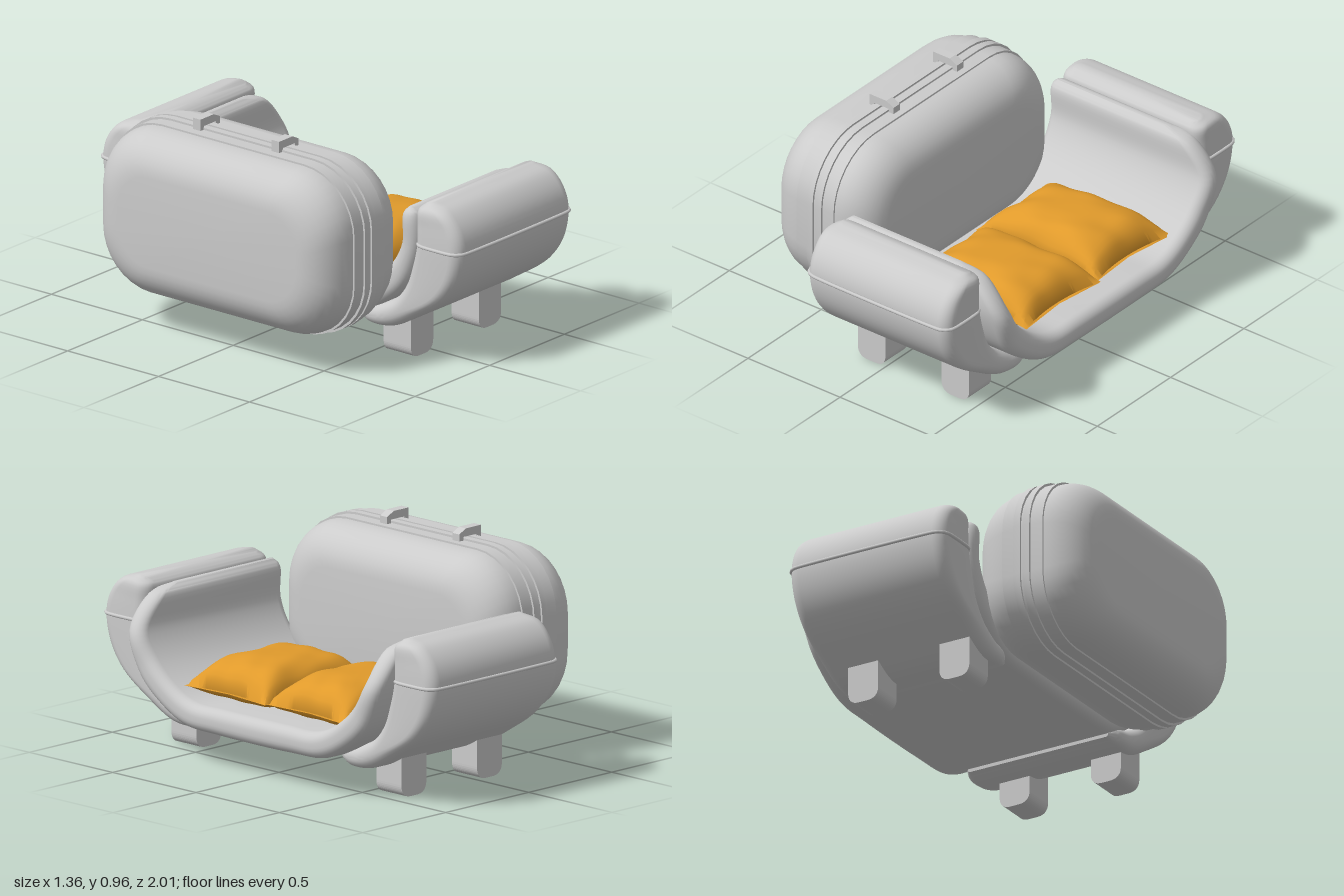
import * as THREE from 'three';
import { toCreasedNormals } from 'three/addons/utils/BufferGeometryUtils.js';

const grey = new THREE.MeshStandardMaterial({ color: 0xcccccc });
const orange = new THREE.MeshStandardMaterial({ color: 0xe09a2b });
const V = (x, y, z) => new THREE.Vector3(x, y, z);

// Outline of a rounded rectangle with half sizes a, b and corner radius r
function roundedRect(a, b, r, n = 6) {
  const pts = [];
  [[1, 1], [-1, 1], [-1, -1], [1, -1]].forEach(([sx, sy], q) => {
    for (let i = 0; i <= n; i++) {
      const t = (q + i / n) * Math.PI / 2;
      pts.push([sx * (a - r) + r * Math.cos(t), sy * (b - r) + r * Math.sin(t)]);
    }
  });
  return pts;
}

// Closed skin over a row of equal-length rings, capped at both ends and facing outward
function loft(rings, crease = 0.7) {
  const n = rings[0].length, pts = rings.flat(), idx = [];
  for (let i = 0; i < rings.length - 1; i++) {
    for (let j = 0; j < n; j++) {
      const a = i * n + j, b = i * n + (j + 1) % n;
      idx.push(a, b, a + n, b, b + n, a + n);
    }
  }
  [0, rings.length - 1].forEach((k) => {
    const c = V(0, 0, 0);
    rings[k].forEach((p) => c.addScaledVector(p, 1 / n));
    pts.push(c);
    for (let j = 0; j < n; j++) {
      const a = k * n + j, b = k * n + (j + 1) % n;
      idx.push(...(k === 0 ? [pts.length - 1, b, a] : [pts.length - 1, a, b]));
    }
  });
  const mid = V(0, 0, 0);
  pts.forEach((p) => mid.addScaledVector(p, 1 / pts.length));
  let volume = 0;
  const e = [V(), V(), V()];
  for (let i = 0; i < idx.length; i += 3) {
    e.forEach((v, k) => v.subVectors(pts[idx[i + k]], mid));
    volume += e[0].dot(e[1].clone().cross(e[2]));
  }
  if (volume < 0) idx.reverse();
  const g = new THREE.BufferGeometry().setFromPoints(pts);
  g.setIndex(idx);
  return toCreasedNormals(g, crease);
}

// Curved padded slab: each row is [inner z, inner y, outer z, outer y, x back, x front]
function slab(rows, radius, steps) {
  const inner = new THREE.CatmullRomCurve3(rows.map((p) => V(p[4], p[1], p[0])));
  const outer = new THREE.CatmullRomCurve3(rows.map((p) => V(p[5], p[3], p[2])));
  const rings = [];
  for (let i = 0; i <= steps; i++) {
    const a = inner.getPoint(i / steps), b = outer.getPoint(i / steps);
    const hy = (b.y - a.y) / 2, hz = (b.z - a.z) / 2, h = Math.hypot(hy, hz);
    const hx = (b.x - a.x) / 2;
    rings.push(roundedRect(hx, h, Math.min(radius, h * 0.95)).map(([u, v]) =>
      V((a.x + b.x) / 2 + u, (a.y + b.y) / 2 + hy * v / h, (a.z + b.z) / 2 + hz * v / h)));
  }
  return loft(rings);
}

// Ring of the backrest outline at a given x, drawn in by an inset
const backRing = (x, inset) =>
  roundedRect(0.66 - inset, 0.373 - inset, 0.27 - inset * 0.6, 8)
    .map(([z, y]) => V(x, 0.528 + y, z));

// Soft cushion spanned between four corners (x, z), pinched at the edges
function cushion(corners, phase) {
  const n = 28, rings = [], [A, B, C, D] = corners;
  const point = (u, v, side) => {
    const pu = u * (1 - 0.09 * (1 - v * v) * 0.6), pv = v * (1 - 0.07 * (1 - u * u));
    const s = (pu * (1 - 0.06 * (1 - v * v)) + 1) / 2, t = (pv + 1) / 2;
    const mix = (k) => (A[k] * (1 - s) + B[k] * s) * (1 - t) + (D[k] * (1 - s) + C[k] * s) * t;
    const dome = Math.pow(Math.max(0, (1 - u ** 4) * (1 - v ** 4)), 0.6);
    const rim = Math.max(u * u, v * v);
    const fold = 1 + 0.13 * rim * Math.sin(7 * u + 3 * v + phase) * Math.cos(6 * v - 2 * u + phase);
    const y = 0.315 + dome * fold * (side > 0 ? 0.135 : -0.055);
    return V(mix(0), Math.max(y, 0.262), mix(1));
  };
  for (let i = 0; i <= n; i++) {
    const u = -1 + 2 * i / n, ring = [];
    for (let j = 0; j <= n; j++) ring.push(point(u, -1 + 2 * j / n, 1));
    for (let j = n - 1; j > 0; j--) ring.push(point(u, -1 + 2 * j / n, -1));
    rings.push(ring);
  }
  return loft(rings, 1.1);
}

export function createModel() {
  const model = new THREE.Group();
  const add = (name, geometry, material = grey) => {
    const mesh = new THREE.Mesh(geometry, material);
    mesh.name = name;
    model.add(mesh);
    return mesh;
  };

  // Case-shaped backrest with rounded faces
  const half = [];
  for (let i = 0; i <= 9; i++) {
    const t = i / 9 * Math.PI / 2;
    half.push([0.1 + 0.18 * Math.sin(t), 0.17 * (1 - Math.cos(t))]);
  }
  const profile = [...half.slice().reverse().map(([x, d]) => [-x, d]), ...half];
  add('backrest', loft(profile.map(([x, d]) => backRing(-0.4 + x, d))));

  // Wide band and two narrow ridges around the backrest
  const band = (name, x0, x1, out) => add(name, loft([backRing(x0, -out), backRing(x1, -out)]));
  band('backBand', -0.5, -0.3, 0.008);
  band('backRidgeRear', -0.44, -0.407, 0.017);
  band('backRidgeFront', -0.393, -0.36, 0.017);

  // Two latches on top of the backrest
  const latch = new THREE.Shape([
    [-0.46, 0.9], [-0.435, 0.9], [-0.435, 0.925], [-0.355, 0.925], [-0.355, 0.9],
    [-0.33, 0.9], [-0.33, 0.94], [-0.37, 0.96], [-0.46, 0.96],
  ].map(([x, y]) => new THREE.Vector2(x, y)));
  [-0.255, 0.178].forEach((z) => {
    add('latch', new THREE.ExtrudeGeometry(latch, { depth: 0.042, bevelEnabled: false }))
      .position.z = z;
  });

  // Seat shell sweeping up at both sides, its upper front corners rounded
  const side = [
    [0.695, 0.698, 0.715, 0.698, -0.17, 0.42],
    [0.668, 0.665, 0.75, 0.665, -0.2, 0.55],
    [0.66, 0.53, 0.755, 0.52, -0.2, 0.67],
    [0.59, 0.41, 0.685, 0.34, -0.2, 0.677],
    [0.47, 0.31, 0.57, 0.235, -0.2, 0.677],
    [0.36, 0.267, 0.42, 0.16, -0.2, 0.677],
    [0.2, 0.264, 0.22, 0.147, -0.2, 0.677],
  ];
  const mirrored = side.slice().reverse().map(([a, b, c, d, e, f]) => [-a, b, -c, d, e, f]);
  add('seatShell', slab([...side, ...mirrored], 0.05, 78));

  // Crescent armrests with piping
  const arm = [
    [0.765, 0.722, 0.81, 0.734, -0.15, 0.53],
    [0.737, 0.695, 0.9, 0.708, -0.19, 0.57],
    [0.737, 0.62, 0.965, 0.64, -0.197, 0.575],
    [0.737, 0.54, 0.99, 0.55, -0.2, 0.577],
    [0.715, 0.44, 0.965, 0.42, -0.2, 0.577],
    [0.68, 0.34, 0.89, 0.31, -0.2, 0.577],
    [0.62, 0.265, 0.74, 0.205, -0.2, 0.577],
    [0.53, 0.22, 0.6, 0.13, -0.197, 0.575],
    [0.46, 0.2, 0.49, 0.122, -0.19, 0.57],
    [0.42, 0.17, 0.42, 0.145, -0.16, 0.54],
  ];
  const pipePath = (s) => new THREE.CatmullRomCurve3(
    roundedRect(0.39, 0.125, 0.055, 4).map(([x, z]) => V(0.188 + x, 0.543, s * (0.867 + z))), true);

  // Feet with rounded lower corners
  const foot = new THREE.Shape();
  foot.moveTo(-0.075, 0.22).lineTo(-0.075, 0.055).quadraticCurveTo(-0.075, 0, -0.02, 0)
    .lineTo(0.02, 0).quadraticCurveTo(0.075, 0, 0.075, 0.055).lineTo(0.075, 0.22);

  [['left', 1], ['right', -1]].forEach(([, s]) => {
    const end = s > 0 ? 'Front' : 'Rear';
    add('armrest' + end, slab(arm.map(([a, b, c, d, e, f]) => [s * a, b, s * c, d, e, f]), 0.055, 45));
    add('armPiping' + end, new THREE.TubeGeometry(pipePath(s), 80, 0.008, 8, true));
    [-0.075, 0.38].forEach((x) => {
      const g = new THREE.ExtrudeGeometry(foot, { depth: 0.15, bevelEnabled: false });
      add('foot' + end, g).position.set(x, 0, s > 0 ? 0.54 : -0.69);
    });
  });

  // Two loose cushions
  add('cushionRear', cushion([[-0.05, -0.46], [0.605, -0.5], [0.59, -0.01], [-0.07, -0.015]], 0.6), orange);
  add('cushionFront', cushion([[-0.04, -0.01], [0.605, -0.02], [0.595, 0.475], [-0.07, 0.455]], 2.4), orange);

  return model;
}
